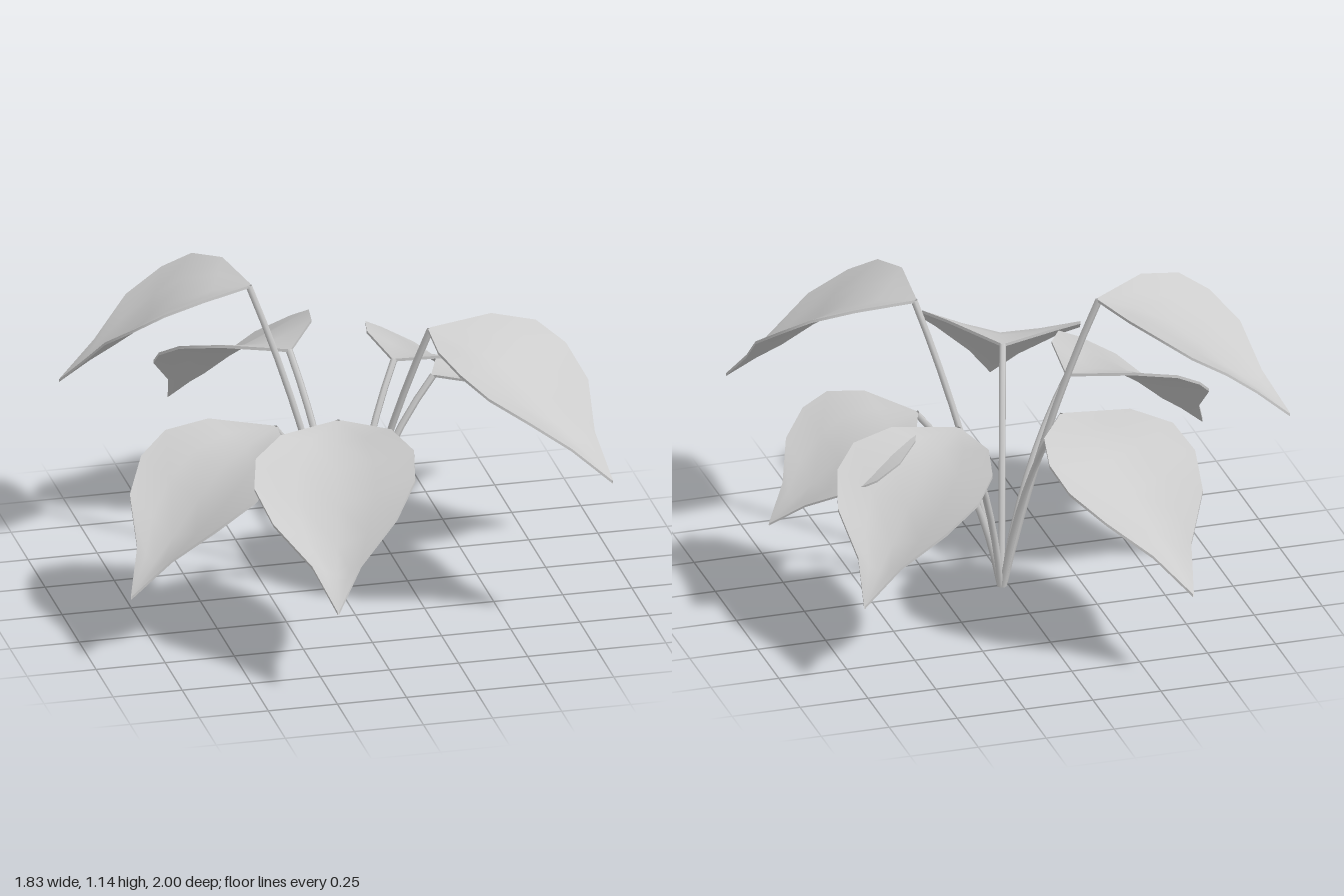
import * as THREE from 'three';
import { toCreasedNormals } from 'three/addons/utils/BufferGeometryUtils.js';

const ORIGIN = new THREE.Vector3(0.025, 0.003, -0.005);
const LENGTH = 0.73, DROP = 0.43;

// Leaf stations from base to tip: [forward, half width, midrib height, edge height]
const STATIONS = [
  [-0.004, 0.008, 0, 0.002],
  [0.138, 0.195, -0.03, 0.015],
  [0.272, 0.279, -0.08, -0.015],
  [0.389, 0.284, -0.16, -0.08],
  [0.514, 0.218, -0.265, -0.17],
  [0.612, 0.086, -0.335, -0.3],
  [LENGTH, 0.002, -DROP, -DROP],
];

// Shallow V-folded blade with a thin rim, growing along +z
function leafGeometry() {
  const across = [-1, -0.5, 0, 0.5, 1];
  const thickness = 0.011;
  const points = [], index = [];
  for (const [z, half, mid, edge] of STATIONS) {
    const top = across.map((s) => {
      const a = Math.abs(s);
      const lift = a === 0.5 ? 0.42 : a;
      return [s * half, mid + (edge - mid) * lift, z];
    });
    const bottom = top.map(([x, y, zz]) => [x, y - thickness, zz]).reverse();
    points.push(...top, ...bottom);
  }
  const n = across.length * 2;
  for (let i = 0; i < STATIONS.length - 1; i++) {
    for (let j = 0; j < n; j++) {
      const k = (j + 1) % n;
      const a = i * n + j, b = a + n, c = (i + 1) * n + k, d = i * n + k;
      index.push(a, b, c, a, c, d);
    }
  }
  const geometry = new THREE.BufferGeometry();
  geometry.setAttribute('position', new THREE.Float32BufferAttribute(points.flat(), 3));
  geometry.setIndex(index);
  return toCreasedNormals(geometry, 0.8);
}

// Stem joint, leaf tip, sideways roll and stem bend (control point fractions)
const LEAVES = [
  { base: [-0.10, 0.79, -0.32], tip: [-0.37, 0.36, -1.0], roll: 0, bend: [0.3, 0.58] },
  { base: [-0.29, 1.13, -0.14], tip: [-0.91, 0.72, -0.41], roll: 0, bend: [0.4, 0.55] },
  { base: [-0.27, 0.71, 0.16], tip: [-0.88, 0.28, 0.53], roll: 0, bend: [0.28, 0.6] },
  { base: [-0.08, 0.78, 0.32], tip: [-0.28, 0.35, 0.99], roll: -0.08, bend: [0.3, 0.58] },
  { base: [0.28, 1.05, 0.21], tip: [0.82, 0.62, 0.70], roll: 0, bend: [0.4, 0.55] },
  { base: [0.36, 0.75, -0.07], tip: [0.91, 0.42, -0.17], roll: 0.11, bend: [0.26, 0.6] },
  { base: [0.26, 0.75, -0.24], tip: [0.75, 0.34, -0.71], roll: 0, bend: [0.27, 0.6] },
];

export function createModel() {
  const model = new THREE.Group();
  model.name = 'pottedLeafPlant';
  const grey = new THREE.MeshStandardMaterial({ color: 0xcccccc, side: THREE.DoubleSide });
  grey.name = 'light grey';
  const blade = leafGeometry();

  LEAVES.forEach(({ base, tip, roll, bend }, i) => {
    const joint = new THREE.Vector3(...base);
    const end = new THREE.Vector3(...tip);
    const out = end.clone().sub(joint);

    // Arching stem from the shared root
    const control = new THREE.Vector3(
      THREE.MathUtils.lerp(ORIGIN.x, joint.x, bend[0]),
      joint.y * bend[1],
      THREE.MathUtils.lerp(ORIGIN.z, joint.z, bend[0]),
    );
    const root = ORIGIN.clone().add(new THREE.Vector3(joint.x, 0, joint.z).setLength(0.006));
    const path = new THREE.QuadraticBezierCurve3(root, control, joint.clone().setY(joint.y - 0.004));
    const stem = new THREE.Mesh(new THREE.TubeGeometry(path, 8, 0.0125, 6), grey);
    stem.name = `stem${i + 1}`;

    // Drooping leaf, stretched to reach its tip
    const leaf = new THREE.Mesh(blade.clone().rotateZ(-roll), grey);
    leaf.name = `leaf${i + 1}`;
    leaf.position.copy(joint);
    leaf.rotation.y = Math.atan2(out.x, out.z);
    leaf.scale.set(1, -out.y / DROP, Math.hypot(out.x, out.z) / LENGTH);
    model.add(stem, leaf);
  });
  return model;
}
